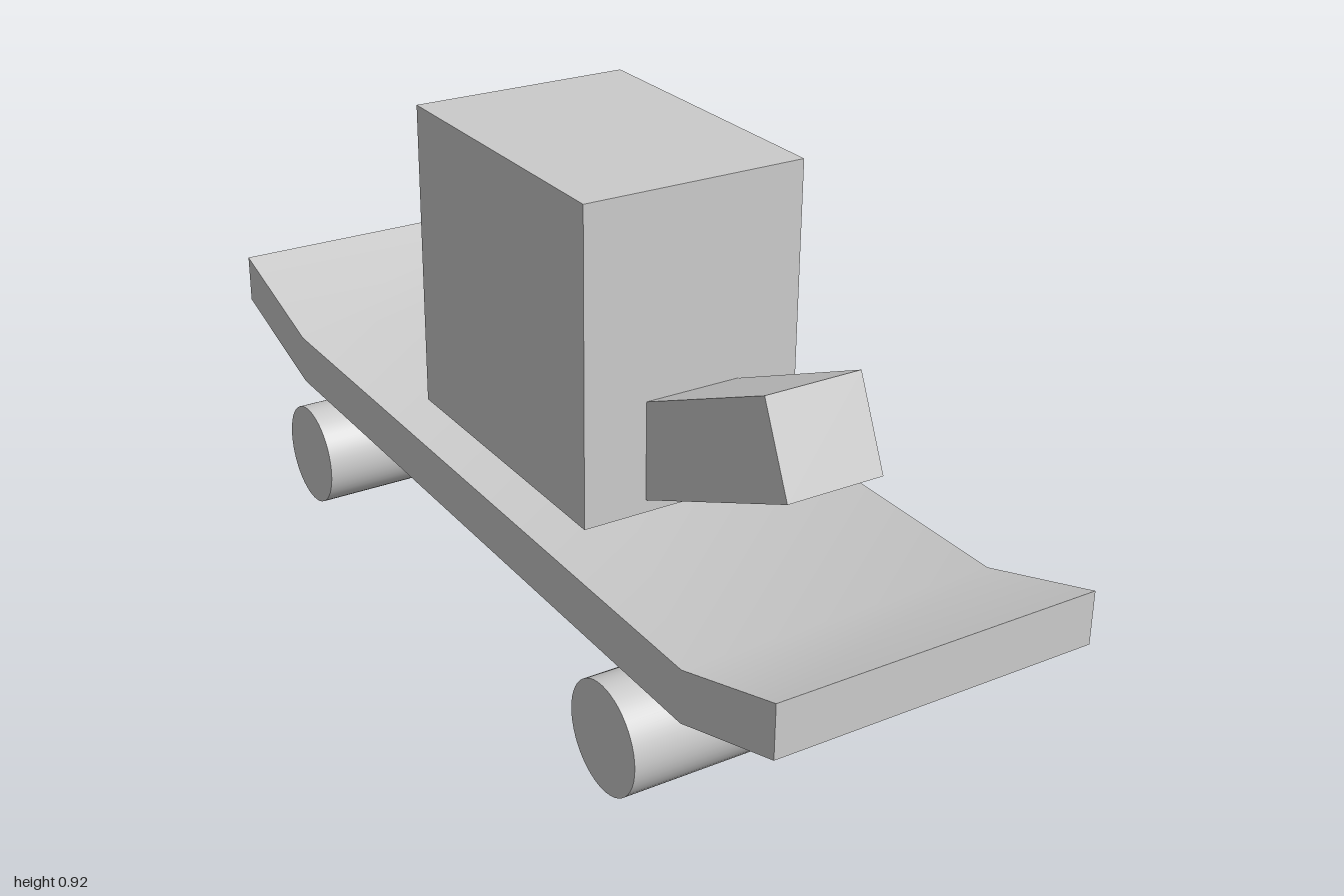
import * as THREE from 'three';
import { toCreasedNormals } from 'three/addons/utils/BufferGeometryUtils.js';

export function createModel() {
  const model = new THREE.Group();
  const material = new THREE.MeshStandardMaterial({ color: 0xcccccc });

  function add(name, geometry, x, y, z) {
    const mesh = new THREE.Mesh(geometry, material);
    mesh.name = name;
    mesh.position.set(x, y, z);
    model.add(mesh);
    return mesh;
  }

  // Deck: side profile (z, y) with upturned ends, extruded across the width
  const top = [[-1, 0.395], [-0.715, 0.312], [0.75, 0.312], [1, 0.395]];
  const thickness = 0.099;
  const width = 0.612;
  const bottom = top.map(([z, y]) => [z, y - thickness]).reverse();
  const profile = new THREE.Shape([...top, ...bottom].map(([z, y]) => new THREE.Vector2(-z, y)));
  const deck = new THREE.ExtrudeGeometry(profile, { depth: width, bevelEnabled: false });
  deck.translate(0, 0, -width / 2).rotateY(Math.PI / 2); // shape x runs towards -z
  add('deck', toCreasedNormals(deck, 0.5), 0, 0, 0);

  // Full-width wheel rollers
  const roller = new THREE.CylinderGeometry(0.102, 0.102, 0.7, 48).rotateZ(Math.PI / 2);
  add('frontWheels', roller, 0, 0.102, 0.585);
  add('backWheels', roller, 0, 0.102, -0.6);

  // Body block, just clear of the deck
  add('body', new THREE.BoxGeometry(0.437, 0.6, 0.607), -0.001, 0.62, 0.002);

  // Snout: tilted block rising forward, its inner end set into the body
  const tilt = Math.atan2(0.155, 0.347);
  const length = 0.5;
  const snout = add('snout', new THREE.BoxGeometry(0.188, 0.175, length), -0.001,
    0.61 - Math.sin(tilt) * length / 2, 0.686 - Math.cos(tilt) * length / 2);
  snout.rotation.x = -tilt;

  return model;
}
